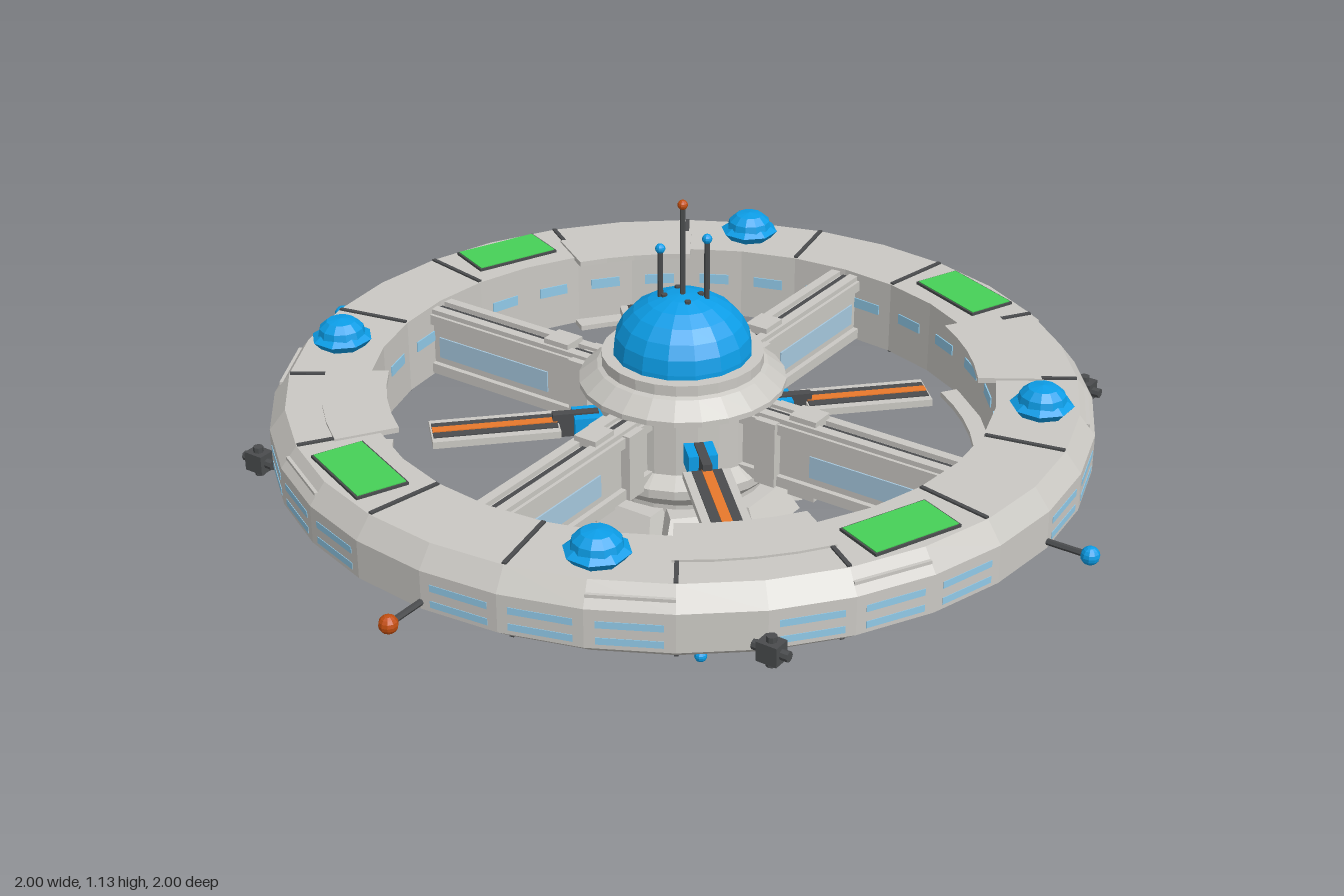
import * as THREE from 'three';

const mat = (name, color) => {
  const m = new THREE.MeshStandardMaterial({ color, flatShading: true });
  m.name = name;
  return m;
};
const D = Math.PI / 180;

export function createModel() {
  const hull = mat('hullGrey', 0xcac8c3);
  const dark = mat('darkMetal', 0x4a4c4e);
  const blue = mat('brightBlue', 0x0c9ee8);
  const green = mat('green', 0x46d057);
  const orange = mat('panelOrange', 0xf98230);
  const rust = mat('beaconOrange', 0xc24e10);
  const glass = mat('windowBlue', 0x9ad6f6);
  const pane = mat('paleBlueGrey', 0xa6c8de);

  const model = new THREE.Group();
  model.name = 'spaceStation';

  const add = (parent, name, geo, m, x = 0, y = 0, z = 0) => {
    const mesh = new THREE.Mesh(geo, m);
    mesh.name = name;
    mesh.position.set(x, y, z);
    parent.add(mesh);
    return mesh;
  };
  const box = (p, name, m, w, h, d, x, y, z = 0) => add(p, name, new THREE.BoxGeometry(w, h, d), m, x, y, z);
  const lathe = (pts, seg) => new THREE.LatheGeometry(pts.map(([r, y]) => new THREE.Vector2(r, y)), seg);
  // Group whose local +x points outward at the given angle
  const spin = (name, deg) => {
    const g = new THREE.Group();
    g.name = name;
    g.rotation.y = deg * D;
    model.add(g);
    return g;
  };
  // Ring sector plate between two radii
  const sector = (r0, r1, h, a0, a1, n) => {
    const pts = [];
    for (let i = 0; i <= n; i++) {
      const a = (a0 + (a1 - a0) * i / n) * D;
      pts.push(new THREE.Vector2(r1 * Math.cos(a), r1 * Math.sin(a)));
    }
    for (let i = n; i >= 0; i--) {
      const a = (a0 + (a1 - a0) * i / n) * D;
      pts.push(new THREE.Vector2(r0 * Math.cos(a), r0 * Math.sin(a)));
    }
    const g = new THREE.ExtrudeGeometry(new THREE.Shape(pts), { depth: h, bevelEnabled: false });
    return g.rotateX(-Math.PI / 2);
  };
  // Mast with a ball on its end
  const mast = (p, name, m, x, y0, y1, z, r = 0.011) => {
    add(p, name + 'Rod', new THREE.CylinderGeometry(0.006, 0.006, Math.abs(y1 - y0), 6), dark, x, (y0 + y1) / 2, z);
    add(p, name + 'Ball', new THREE.SphereGeometry(r, 10, 8), m, x, y1, z);
  };

  // Outer ring
  add(model, 'ring', lathe([[0.675, 0.545], [0.83, 0.545], [0.885, 0.585], [0.885, 0.67],
    [0.85, 0.715], [0.675, 0.715], [0.675, 0.545]], 32), hull);

  // Ring windows, one set per facet
  for (let i = 0; i < 32; i++) {
    const g = spin('ringWindows', (i + 0.5) * 11.25);
    if (i % 4 !== 3) {
      box(g, 'outerWindowUpper', glass, 0.004, 0.015, 0.13, 0.880, 0.638);
      box(g, 'outerWindowLower', glass, 0.004, 0.015, 0.13, 0.880, 0.602);
    }
    box(g, 'innerWindow', glass, 0.004, 0.024, 0.07, 0.671, 0.64);
  }

  // Dark seams on the top and bottom of the ring
  for (let i = 0; i < 16; i++) {
    const g = spin('ringSeam', (i + 0.5) * 22.5);
    box(g, 'seamTop', dark, 0.17, 0.006, 0.009, 0.763, 0.716);
    box(g, 'seamBottom', dark, 0.15, 0.006, 0.009, 0.753, 0.544);
  }

  for (let q = 0; q < 4; q++) {
    // Green hatch
    const h = spin('hatch', -22.5 + 90 * q);
    box(h, 'hatchFrame', dark, 0.116, 0.008, 0.206, 0.772, 0.717);
    box(h, 'hatchPanel', green, 0.108, 0.008, 0.198, 0.772, 0.719);

    // Small observation dome on a flared base
    const o = spin('smallDome', 22.5 + 90 * q);
    add(o, 'smallDomeBase', lathe([[0.05, 0.712], [0.068, 0.733], [0.05, 0.745], [0, 0.745]], 8), blue, 0.77, 0, 0);
    add(o, 'smallDomeCap', lathe([[0.054, 0.735], [0.049, 0.757], [0.032, 0.772], [0, 0.777]], 12), blue, 0.77, 0, 0);

    // Raised plates over and under the ring, and trim on its bevel
    const p = spin('ringPlates', 45 + 90 * q);
    add(p, 'plateTop', sector(0.635, 0.772, 0.012, -12, 12, 4), hull, 0, 0.708, 0);
    add(p, 'plateBottom', sector(0.635, 0.772, 0.012, -12, 12, 4), hull, 0, 0.54, 0);
    for (const a of [-22.5, 11.25])
      add(p, 'bevelTrim', sector(0.85, 0.873, 0.007, a, a + 11.25, 1), hull, 0, 0.688, 0);

    // Spoke with rails, side windows and clamps
    const s = spin('spoke', 90 * q);
    box(s, 'spokeCore', hull, 0.53, 0.13, 0.06, 0.415, 0.625);
    for (const y of [0.562, 0.685]) box(s, 'spokeDeck', hull, 0.53, 0.024, 0.085, 0.415, y);
    for (const z of [-1, 1]) {
      box(s, 'spokeRail', hull, 0.53, 0.012, 0.022, 0.415, 0.702, z * 0.024);
      box(s, 'spokeWindow', pane, 0.31, 0.05, 0.005, 0.5, 0.615, z * 0.031);
    }
    box(s, 'spokeChannel', dark, 0.53, 0.006, 0.012, 0.415, 0.698);
    box(s, 'spokeChannelUnder', dark, 0.53, 0.006, 0.012, 0.415, 0.55);
    box(s, 'spokeClamp', hull, 0.065, 0.19, 0.055, 0.322, 0.625);
    box(s, 'spokeCollar', hull, 0.05, 0.15, 0.105, 0.245, 0.625);

    // Solar wing on a diagonal arm
    const w = spin('solarWing', 45 + 90 * q);
    box(w, 'wingArm', dark, 0.1, 0.054, 0.02, 0.235, 0.625);
    box(w, 'wingRoot', blue, 0.07, 0.046, 0.062, 0.205, 0.625);
    box(w, 'wingFrame', hull, 0.275, 0.016, 0.1, 0.41, 0.625);
    box(w, 'wingCells', dark, 0.268, 0.021, 0.064, 0.41, 0.625);
    box(w, 'wingStripe', orange, 0.268, 0.025, 0.022, 0.41, 0.625);

    // Beacon on the ring rim
    const b = spin('beacon', 90 * q);
    add(b, 'beaconRod', new THREE.CylinderGeometry(0.007, 0.007, 0.1, 6).rotateZ(Math.PI / 2), dark, 0.925, 0.6, 0);
    add(b, 'beaconBall', new THREE.SphereGeometry(0.02, 10, 8), q % 2 ? rust : blue, 0.98, 0.6, 0);

    // Thruster cluster on the rim
    const t = new THREE.Group();
    t.name = 'thruster';
    t.position.set(q < 2 ? 0.645 : -0.645, 0.6, q % 2 ? 0.645 : -0.645);
    model.add(t);
    box(t, 'thrusterCore', dark, 0.046, 0.042, 0.038, 0, 0);
    add(t, 'thrusterSideNozzles', new THREE.CylinderGeometry(0.011, 0.011, 0.08, 8).rotateZ(Math.PI / 2), dark);
    add(t, 'thrusterVerticalNozzles', new THREE.CylinderGeometry(0.011, 0.011, 0.066, 8), dark);
  }

  // Central hub
  add(model, 'hub', lathe([[0, 0.235], [0.085, 0.235], [0.112, 0.265], [0.17, 0.36], [0.185, 0.385], [0.185, 0.5],
    [0.216, 0.53], [0.216, 0.55], [0.18, 0.57], [0.18, 0.69], [0.224, 0.708], [0.224, 0.72],
    [0.185, 0.752], [0.175, 0.756], [0.175, 0.78], [0, 0.78]], 24), hull);
  add(model, 'mainDome', new THREE.SphereGeometry(0.15, 16, 6, 0, Math.PI * 2, 0, Math.PI / 2).scale(1, 0.82, 1), blue, 0, 0.79, 0);
  add(model, 'mainDomeRim', new THREE.CylinderGeometry(0.15, 0.15, 0.02, 16), blue, 0, 0.78, 0);

  // Flared docking blocks around the lower hub
  const dock = new THREE.BoxGeometry(0.09, 0.06, 0.17);
  const pos = dock.attributes.position;
  for (let i = 0; i < pos.count; i++) {
    if (pos.getY(i) > 0) {
      pos.setZ(i, pos.getZ(i) * 0.78);
      if (pos.getX(i) > 0) pos.setX(i, 0.01);
    }
  }
  dock.computeVertexNormals();
  for (let i = 0; i < 8; i++) add(spin('dockingBlock', i * 45), 'dockingBlockBody', dock, hull, 0.207, 0.46, 0);

  // Engine under the hub
  add(model, 'engineRing', new THREE.CylinderGeometry(0.1, 0.1, 0.026, 20), blue, 0, 0.223, 0);
  add(model, 'engineGlow', new THREE.CylinderGeometry(0.072, 0.072, 0.006, 20), glass, 0, 0.209, 0);
  add(model, 'engineNozzle', new THREE.CylinderGeometry(0.048, 0.048, 0.08, 10), dark, 0, 0.178, 0);

  // Antennas
  mast(model, 'topMast', rust, 0, 0.89, 1.115, 0);
  mast(model, 'leftMast', blue, -0.04, 0.88, 1.015, 0.025);
  mast(model, 'rightMast', blue, 0.045, 0.88, 1.04, -0.025);
  mast(model, 'lowerMast', blue, 0.05, 0.21, 0.015, 0, 0.015);
  for (const x of [-0.03, 0.03]) for (const z of [-0.025, 0.025])
    add(model, 'mastSocket', new THREE.CylinderGeometry(0.007, 0.007, 0.03, 6), dark, x, 0.898, z);

  return model;
}
